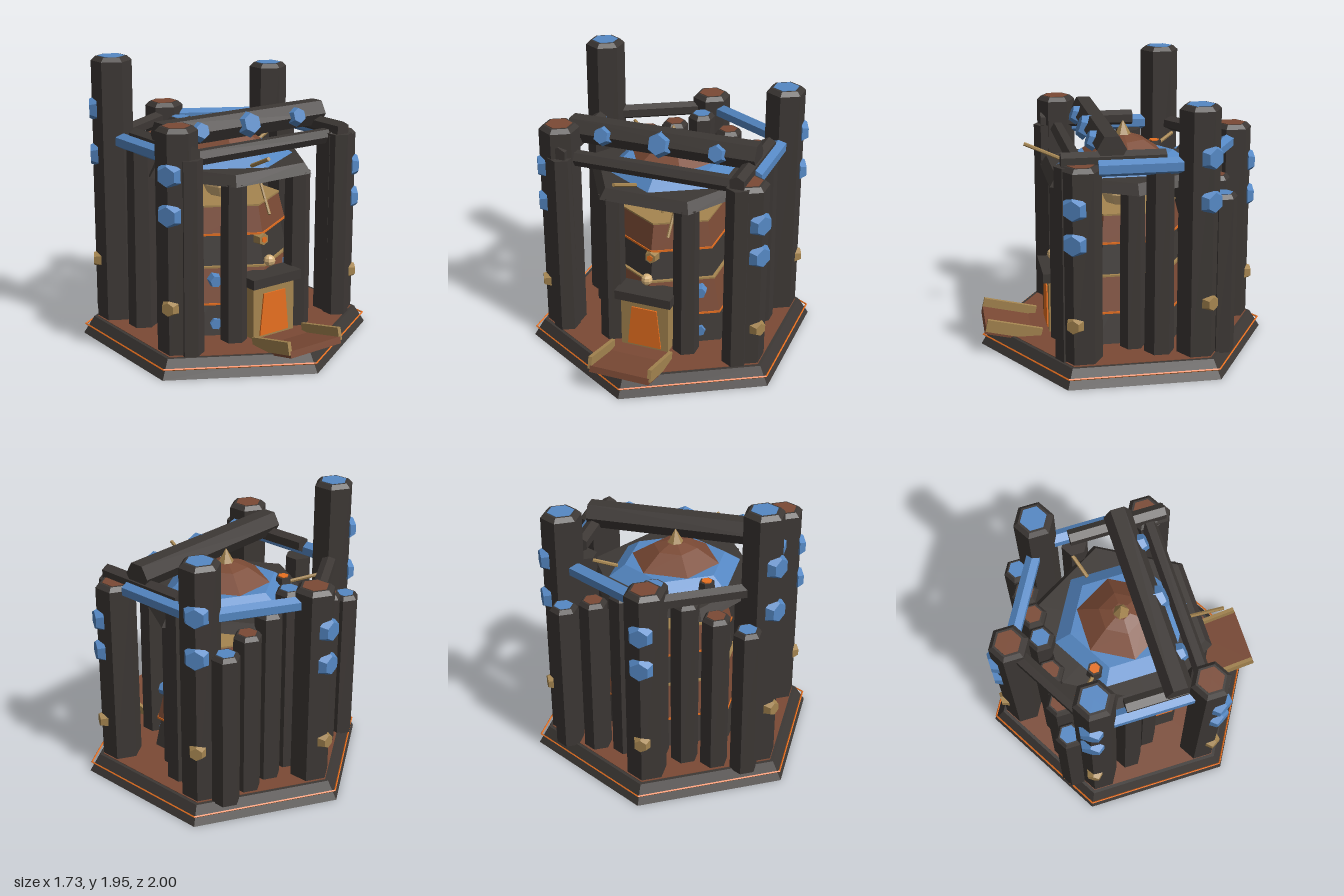
import * as THREE from 'three';

const DARK = 0x3d3835, BROWN = 0x7b4a35, BLUE = 0x5588c4, BRASS = 0xa58550, ORANGE = 0xe87020, TAN = 0xd8b47c;
const materials = {};
const mat = (color) => (materials[color] ??= new THREE.MeshStandardMaterial({ color, flatShading: true }));

export function createModel() {
  const model = new THREE.Group();

  function add(name, geometry, color, x = 0, y = 0, z = 0) {
    const mesh = new THREE.Mesh(geometry, mat(color));
    mesh.name = name;
    mesh.position.set(x, y, z);
    model.add(mesh);
    return mesh;
  }
  // Upright six-sided prism or frustum from height y0 to y1
  function hex(name, color, rBottom, rTop, y0, y1, x = 0, z = 0, turn = 0) {
    const mesh = add(name, new THREE.CylinderGeometry(rTop, rBottom, y1 - y0, 6), color, x, (y0 + y1) / 2, z);
    mesh.rotation.y = turn;
    return mesh;
  }
  // Six-sided bar between two points
  function bar(name, color, a, b, rA, rB = rA) {
    const p = new THREE.Vector3(...a), q = new THREE.Vector3(...b);
    const dir = q.clone().sub(p);
    const mesh = add(name, new THREE.CylinderGeometry(rB, rA, dir.length(), 6), color);
    mesh.position.copy(p).add(q).multiplyScalar(0.5);
    mesh.quaternion.setFromUnitVectors(new THREE.Vector3(0, 1, 0), dir.normalize());
    return mesh;
  }
  const box = (name, color, w, h, d, x, y, z) => add(name, new THREE.BoxGeometry(w, h, d), color, x, y, z);

  // Pillar with chamfered top and coloured inset
  function pillar(name, x, z, r, y0, h, capColor) {
    hex(name, DARK, r, r, y0, h - 0.028, x, z);
    hex(name + 'Chamfer', DARK, r, r * 0.78, h - 0.028, h, x, z);
    hex(name + 'Cap', capColor, r * 0.66, r * 0.66, h - 0.01, h + 0.003, x, z);
  }

  // Base plate with glowing band
  hex('base', DARK, 1, 0.925, 0, 0.12);
  hex('floor', BROWN, 0.9, 0.9, 0.11, 0.123);
  const band = new THREE.TorusGeometry(0.985, 0.007, 4, 6);
  band.rotateX(Math.PI / 2).rotateY(Math.PI / 6);
  add('glowBand', band, ORANGE, 0, 0.067, 0);

  // Five outer columns with bolts facing outward
  const columns = [[-0.66, 0.38, 1.61, BROWN], [0.66, 0.38, 1.42, BROWN], [0.66, -0.38, 1.78, BLUE],
    [-0.66, -0.38, 1.95, BLUE], [0, -0.76, 1.51, BROWN]];
  for (const [x, z, h, cap] of columns) {
    pillar('column', x, z, 0.135, 0.13, h, cap);
    const len = Math.hypot(x, z), nx = x / len, nz = z / len;
    for (const [k, r, color] of [[0.82, 0.09, BLUE], [0.66, 0.09, BLUE], [0.28, 0.063, BRASS]]) {
      bar('columnBolt', color, [nx * 0.865, h * k, nz * 0.865], [nx * 0.915, h * k, nz * 0.915], r, r * 0.72);
    }
  }

  // Back wall of posts, tallest in the middle
  for (let i = -3; i <= 3; i++) {
    const n = Math.abs(i);
    pillar('backPost', i * 0.204, -0.55, 0.095, 0.11, [1.43, 1.34, 1.26, 1.19][n], n === 0 || n === 3 ? BLUE : BROWN);
  }

  // Beams joining the columns
  bar('backLeftBeam', BLUE, [0.06, 1.4, -0.725], [0.6, 1.4, -0.415], 0.052);
  bar('backRightBeam', DARK, [-0.06, 1.4, -0.725], [-0.6, 1.4, -0.415], 0.052);
  bar('frontBeam', DARK, [-0.57, 1.385, 0.38], [0.57, 1.385, 0.38], 0.054);
  bar('mainBeam', DARK, [-0.66, 1.51, 0.18], [0.655, 1.51, 0.18], 0.095);
  for (const x of [-0.4, 0, 0.4]) {
    const r = x ? 0.07 : 0.09;
    bar('beamBolt', BLUE, [x, 1.51, 0.245], [x, 1.53, 0.3], r, r * 0.75);
  }

  for (const s of [-1, 1]) {
    // Side beams and their trestles
    bar('sideBeam', BLUE, [s * 0.66, 1.395, -0.27], [s * 0.66, 1.395, 0.27], 0.055);
    bar('trestleBeam', DARK, [s * 0.615, 1.44, -0.17], [s * 0.615, 1.44, 0.5], 0.055);
    hex('trestlePost', DARK, 0.09, 0.085, 0.12, 1.41, s * 0.62, 0.46);
    hex('trestlePost', DARK, 0.1, 0.09, 0.12, 1.36, s * 0.6, -0.14);
    // Canopy posts
    hex('canopyPost', DARK, 0.09, 0.085, 0.12, 1.2, s * 0.265, 0.45);
    hex('canopyPost', DARK, 0.085, 0.08, 0.12, 1.2, s * 0.49, 0.02);
    // Round blue lights on the furnace flanks
    for (const y of [0.2, 0.5]) {
      bar('furnaceLight', BLUE, [s * 0.29, y, 0.25], [s * 0.32, y, 0.33], 0.055, 0.04);
    }
  }

  // Canopy and layered roof
  hex('canopy', DARK, 0.62, 0.57, 1.19, 1.26, 0, 0, Math.PI / 6);
  hex('roofSkirt', BLUE, 0.46, 0.35, 1.26, 1.335);
  hex('roof', BROWN, 0.3, 0.15, 1.335, 1.43, 0, 0, Math.PI / 6);
  hex('roofTop', BROWN, 0.15, 0.06, 1.43, 1.46, 0, 0, Math.PI / 6);
  hex('finial', BRASS, 0.06, 0.004, 1.45, 1.55);
  hex('chimney', DARK, 0.06, 0.05, 1.26, 1.34, -0.28, -0.27);
  hex('chimneyGlow', ORANGE, 0.036, 0.036, 1.33, 1.347, -0.28, -0.27);
  bar('roofRod', BRASS, [-0.1, 1.28, 0.42], [-0.15, 1.38, 0.66], 0.013);
  bar('roofRod', BRASS, [0.37, 1.29, -0.12], [0.54, 1.345, -0.18], 0.013);
  bar('roofRod', BRASS, [-0.29, 1.29, -0.27], [-0.47, 1.345, -0.44], 0.013);

  // Tapered furnace with two flared bands
  hex('furnace', DARK, 0.52, 0.34, 0.12, 0.98);
  for (const [y0, y1, r0, r1] of [[0.345, 0.575, 0.5, 0.44], [0.805, 0.98, 0.41, 0.365]]) {
    hex('furnaceBand', BROWN, r0, r1, y0, y1);
    hex('bandGlow', ORANGE, r0 + 0.006, r0 + 0.006, y0 - 0.012, y0 + 0.002);
    hex('bandRim', BRASS, r1 + 0.006, r1 + 0.006, y1, y1 + 0.012);
  }
  add('dome', new THREE.SphereGeometry(0.165, 10, 7), TAN, 0, 1.1, 0);

  // Brass pipes around the dome
  bar('pipe', BRASS, [0, 0.99, 0.2], [0, 1.24, 0.2], 0.01);
  bar('pipe', BRASS, [-0.18, 1.15, 0.2], [0.18, 1.15, 0.2], 0.01);
  bar('pipe', BRASS, [0.1, 0.9, 0.36], [0.12, 1.2, 0.18], 0.011);
  bar('pipe', BRASS, [-0.13, 0.98, 0.17], [-0.17, 1.2, 0.23], 0.011);

  // Doorway with glowing opening
  box('doorFrame', BRASS, 0.34, 0.37, 0.16, 0, 0.305, 0.46);
  const opening = new THREE.Shape([[-0.12, 0.14], [0.12, 0.14], [0.09, 0.43], [-0.09, 0.43]].map((p) => new THREE.Vector2(...p)));
  add('doorGlow', new THREE.ExtrudeGeometry(opening, { depth: 0.02, bevelEnabled: false }), ORANGE, 0, 0, 0.53);
  box('lintel', DARK, 0.4, 0.065, 0.18, 0, 0.52, 0.49);
  add('doorLamp', new THREE.SphereGeometry(0.04, 8, 6), TAN, 0, 0.63, 0.49);
  bar('gauge', BRASS, [0, 0.76, 0.37], [0, 0.76, 0.43], 0.05, 0.04);
  bar('gaugeGlow', ORANGE, [0, 0.76, 0.42], [0, 0.76, 0.437], 0.022);

  // Tilted ramp with side rails
  box('ramp', BROWN, 0.42, 0.045, 0.4, 0, 0.13, 0.785).rotation.x = -0.23;
  for (const s of [-1, 1]) box('rampRail', BRASS, 0.026, 0.085, 0.38, s * 0.21, 0.172, 0.785).rotation.x = -0.23;

  return model;
}
